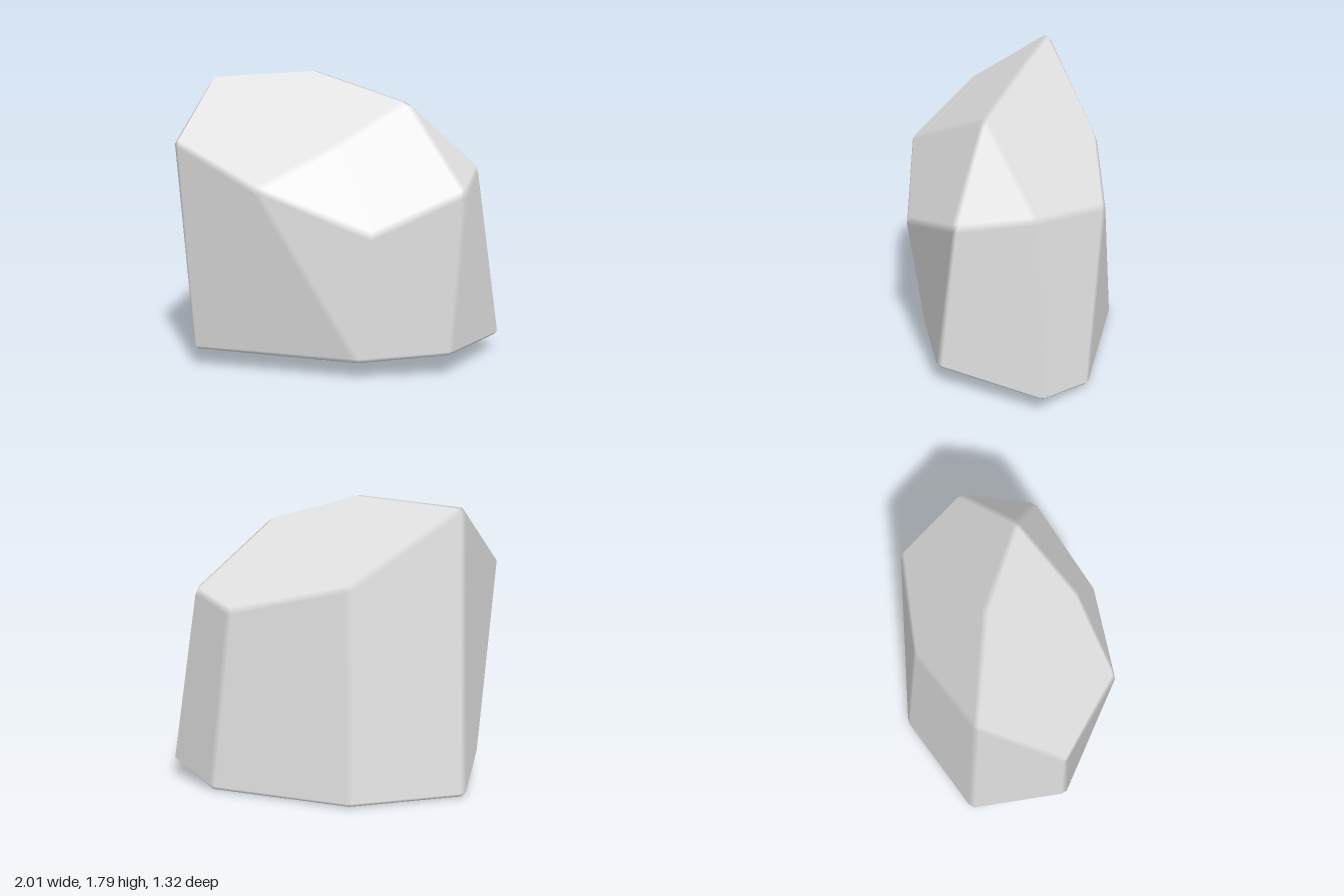
import * as THREE from 'three';

const BEVEL = 0.025;

// Corners of the boulder
const corners = {
  ridgeL: [-0.81, 1.75, -0.31], ridgeM: [-0.16, 1.803, -0.11], ridgeR: [0.4, 1.637, 0.2],
  left: [-1.01, 1.385, 0.18], brow: [-0.03, 1.4, 0.475], frontL: [-0.5, 1.165, 0.61],
  frontM: [0.17, 0.9, 0.66], frontR: [0.74, 1.105, 0.405], right: [0.865, 1.195, -0.06],
  backR: [0.57, 1.13, -0.49], backM: [-0.15, 1.285, -0.545],
  footL: [-0.91, 0.11, 0.25], footF: [0.09, 0.11, 0.57], footFR: [0.66, 0.14, 0.51],
  footR: [1.015, 0.1, -0.09], footBR: [0.71, 0, -0.4], footB: [-0.17, 0, -0.665],
  footBL: [-0.84, 0, -0.375],
};

// Facets: each fans out from its first corner, or from a hub, or lists its triangles
const facets = [
  { loop: ['ridgeM', 'ridgeL', 'left', 'frontL', 'brow', 'ridgeR'] },
  { loop: ['frontM', 'frontR', 'ridgeR', 'brow', 'frontL'] },
  { loop: ['backM', 'backR', 'right', 'ridgeR', 'ridgeM', 'ridgeL'],
    tris: [[0, 1, 3], [1, 2, 3], [0, 3, 4], [0, 4, 5]] },
  { loop: ['ridgeR', 'frontR', 'right'] },
  { loop: ['frontL', 'left', 'footL', 'footF'] },
  { loop: ['frontM', 'frontL', 'footF', 'footFR', 'frontR'] },
  { loop: ['frontR', 'footFR', 'footR', 'right'] },
  { loop: ['footR', 'footBR', 'backR', 'right'] },
  { loop: ['backR', 'footBR', 'footB', 'backM'] },
  { loop: ['footB', 'footBL', 'ridgeL', 'backM'] },
  { loop: ['left', 'ridgeL', 'footBL', 'footL'] },
  { loop: ['footBL', 'footB', 'footBR', 'footR', 'footFR', 'footF', 'footL'], hub: [0, 0, 0] },
];

// Area normal of a closed loop of points
function loopNormal(points) {
  const n = new THREE.Vector3();
  points.forEach((p, i) => n.add(p.clone().cross(points[(i + 1) % points.length])));
  return n.normalize();
}

function boulderGeometry() {
  const vertex = {};
  for (const k in corners) vertex[k] = new THREE.Vector3(...corners[k]);
  const positions = [], normals = [];
  const edges = new Map(), caps = new Map();

  // Adds a triangle of {p, n} corners, turned to face the given direction
  function triangle(a, b, c, facing) {
    const n = b.p.clone().sub(a.p).cross(c.p.clone().sub(a.p));
    const order = n.dot(facing) < 0 ? [a, c, b] : [a, b, c];
    for (const v of order) {
      positions.push(v.p.x, v.p.y, v.p.z);
      normals.push(v.n.x, v.n.y, v.n.z);
    }
  }
  const remember = (map, key, value) => map.set(key, [...(map.get(key) || []), value]);

  // Inset facets
  for (const { loop, tris, hub } of facets) {
    const pts = loop.map((k) => vertex[k]);
    const n = loopNormal(pts);
    const centre = pts.reduce((s, p) => s.add(p), new THREE.Vector3()).divideScalar(pts.length);
    const turn = n.dot(centre.sub(new THREE.Vector3(0, 0.8, 0))) < 0 ? -1 : 1;
    const count = pts.length;
    const inward = pts.map((p, i) =>
      n.clone().cross(pts[(i + 1) % count].clone().sub(p)).normalize());
    const out = n.clone().multiplyScalar(turn);
    const inset = pts.map((p, i) => {
      const a = inward[(i + count - 1) % count], b = inward[i];
      const shift = a.clone().add(b).multiplyScalar(BEVEL / Math.max(0.35, 1 + a.dot(b)));
      return { p: p.clone().add(shift), n: out };
    });
    if (hub) {
      const middle = { p: new THREE.Vector3(...hub), n: out };
      inset.forEach((v, i) => triangle(middle, v, inset[(i + 1) % count], out));
    } else {
      const fan = tris || inset.slice(2).map((_, i) => [0, i + 1, i + 2]);
      for (const [a, b, c] of fan) triangle(inset[a], inset[b], inset[c], out);
    }
    loop.forEach((k, i) => {
      const j = (i + 1) % count;
      const ends = k < loop[j] ? [inset[i], inset[j]] : [inset[j], inset[i]];
      remember(edges, [k, loop[j]].sort().join('-'), ends);
      remember(caps, k, inset[i]);
    });
  }

  // Bevel strips along shared edges
  for (const [[a0, a1], [b0, b1]] of edges.values()) {
    const facing = a0.n.clone().add(b0.n);
    triangle(a0, a1, b1, facing);
    triangle(a0, b1, b0, facing);
  }

  // Small caps where facets meet at a corner
  for (const ring of caps.values()) {
    if (ring.length < 3) continue;
    const axis = ring.reduce((s, v) => s.add(v.n), new THREE.Vector3()).normalize();
    const mid = ring.reduce((s, v) => s.add(v.p), new THREE.Vector3()).divideScalar(ring.length);
    const u = ring[0].p.clone().sub(mid).projectOnPlane(axis).normalize();
    const w = axis.clone().cross(u);
    const angle = (v) => {
      const d = v.p.clone().sub(mid);
      return Math.atan2(d.dot(w), d.dot(u));
    };
    const sorted = [...ring].sort((a, b) => angle(a) - angle(b));
    for (let i = 1; i < sorted.length - 1; i++) triangle(sorted[0], sorted[i], sorted[i + 1], axis);
  }

  const geometry = new THREE.BufferGeometry();
  geometry.setAttribute('position', new THREE.Float32BufferAttribute(positions, 3));
  geometry.setAttribute('normal', new THREE.Float32BufferAttribute(normals, 3));
  return geometry;
}

export function createModel() {
  const stone = new THREE.MeshStandardMaterial({ color: 0xe3e3e3 });
  stone.name = 'stone grey';
  const boulder = new THREE.Mesh(boulderGeometry(), stone);
  boulder.name = 'boulder';
  const group = new THREE.Group();
  group.name = 'rock';
  group.add(boulder);
  return group;
}
